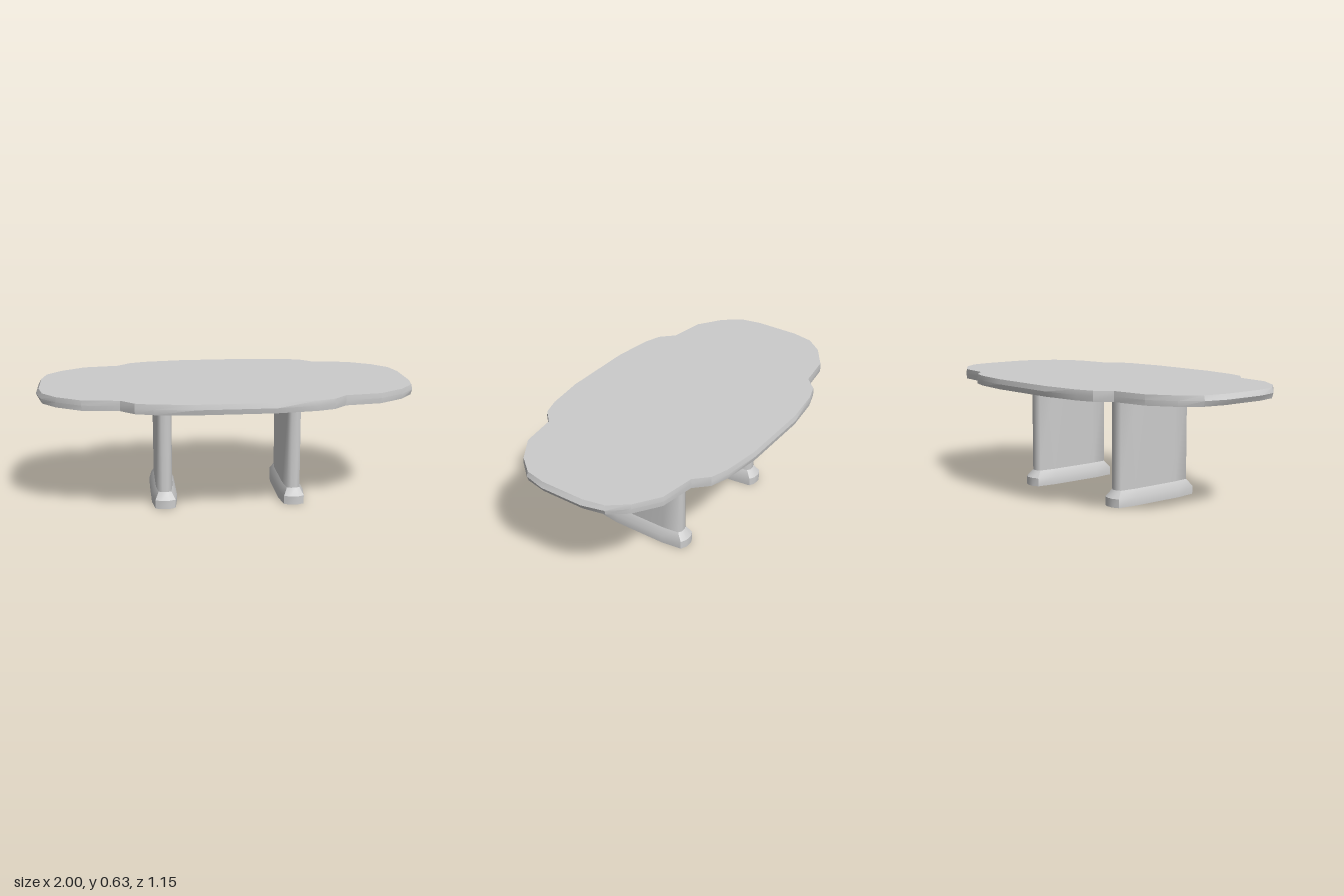
import * as THREE from 'three';
import { toCreasedNormals } from 'three/addons/utils/BufferGeometryUtils.js';

const material = new THREE.MeshStandardMaterial({ color: 0xcccccc });

// Mirrors a quarter outline (from +z round to +x) into a closed ring of [x, z].
function mirrorQuarter(quarter) {
  const back = [...quarter].reverse();
  return [
    ...quarter,
    ...back.map(([x, z]) => [x, -z]),
    ...quarter.map(([x, z]) => [-x, -z]),
    ...back.map(([x, z]) => [-x, z]),
  ];
}

// Joins stacked rings ({ y, points }) from bottom to top and caps both ends.
function loft(rings, creaseAngle) {
  const n = rings[0].points.length;
  const positions = [];
  const indices = [];
  for (const { y, points } of rings) {
    for (const [x, z] of points) positions.push(x, y, z);
  }
  for (let r = 0; r < rings.length - 1; r++) {
    for (let i = 0; i < n; i++) {
      const a = r * n + i;
      const b = r * n + (i + 1) % n;
      indices.push(a, b, b + n, a, b + n, a + n);
    }
  }
  const bottom = rings.length * n;
  const top = bottom + 1;
  const last = (rings.length - 1) * n;
  positions.push(0, rings[0].y, 0, 0, rings[rings.length - 1].y, 0);
  for (let i = 0; i < n; i++) {
    const j = (i + 1) % n;
    indices.push(bottom, j, i, top, last + i, last + j);
  }
  const geometry = new THREE.BufferGeometry();
  geometry.setAttribute('position', new THREE.Float32BufferAttribute(positions, 3));
  geometry.setIndex(indices);
  return toCreasedNormals(geometry, creaseAngle);
}

function createTabletop() {
  // Widest line of the edge, and the slightly inset upper and lower rims
  const edge = mirrorQuarter([
    [0.2, 0.577], [0.41, 0.546], [0.5, 0.515], [0.57, 0.445],
    [0.76, 0.417], [0.89, 0.33], [0.97, 0.237], [1, 0.12],
  ]);
  const rim = mirrorQuarter([
    [0.2, 0.57], [0.405, 0.543], [0.498, 0.513], [0.568, 0.443],
    [0.758, 0.415], [0.888, 0.328], [0.962, 0.235], [0.985, 0.12],
  ]);
  const mesh = new THREE.Mesh(loft([
    { y: 0.577, points: rim },
    { y: 0.604, points: edge },
    { y: 0.63, points: rim },
  ], 0.45), material);
  mesh.name = 'tabletop';
  return mesh;
}

function createPedestal(side) {
  // Oblong plan with rounded ends: broad foot, flared neck, slim panel
  const foot = mirrorQuarter([[0.021, 0.277], [0.053, 0.262], [0.067, 0.15]]);
  const panel = mirrorQuarter([[0.014, 0.243], [0.034, 0.232], [0.044, 0.14]]);
  const group = new THREE.Group();
  group.name = side > 0 ? 'leftPedestal' : 'rightPedestal';

  const base = new THREE.Mesh(loft([
    { y: 0, points: foot },
    { y: 0.045, points: foot },
    { y: 0.083, points: panel },
  ], 0.6), material);
  base.name = 'foot';

  const upright = new THREE.Mesh(loft([
    { y: 0.083, points: panel },
    { y: 0.58, points: panel },
  ], 1.1), material);
  upright.name = 'upright';

  group.add(base, upright);
  group.position.x = side * 0.343;
  return group;
}

export function createModel() {
  const model = new THREE.Group();
  model.name = 'table';
  model.add(createTabletop(), createPedestal(1), createPedestal(-1));
  return model;
}
